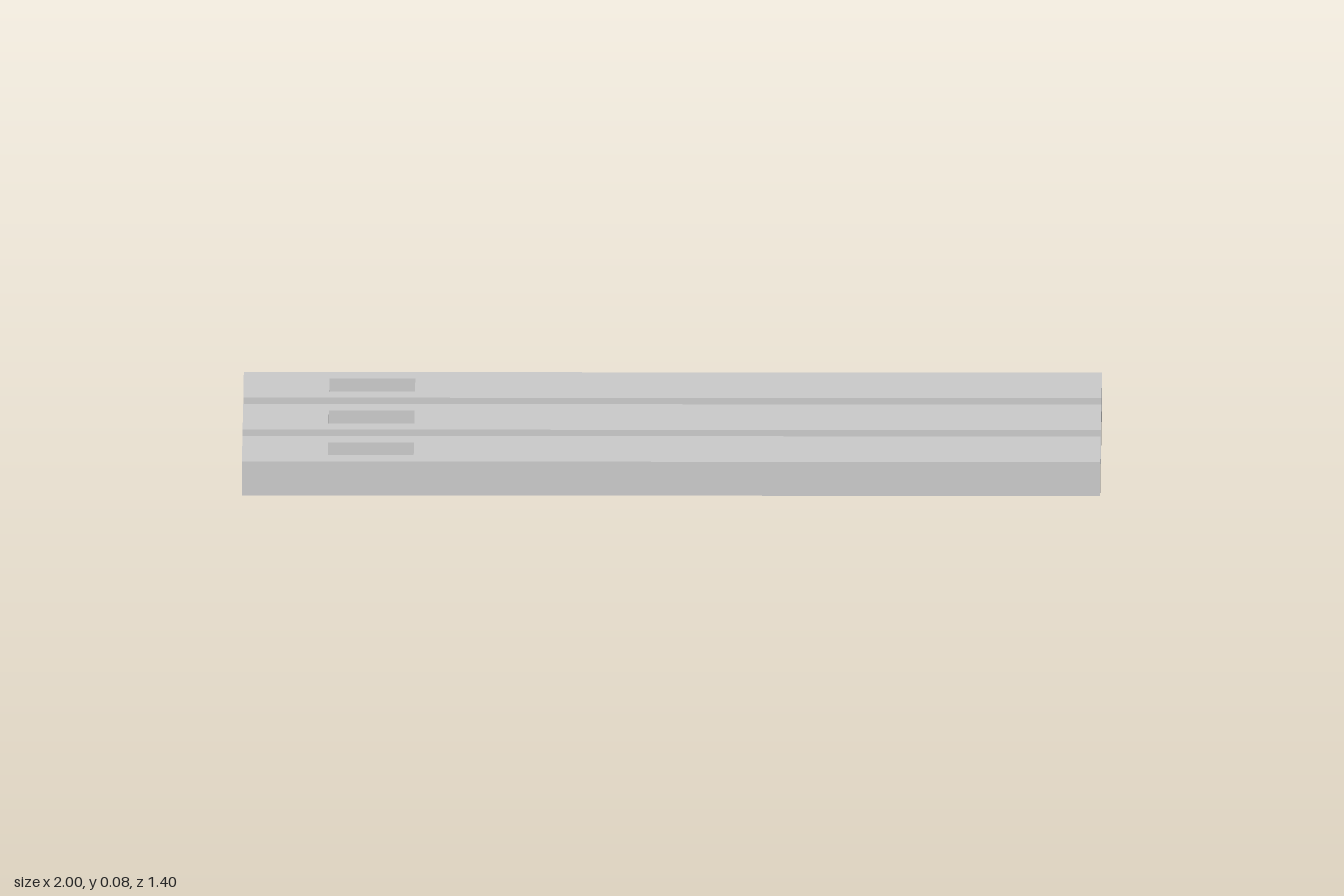
import * as THREE from 'three';

// Counter-clockwise rectangle outline from its centre and size
function rectangle(target, cx, cy, w, h) {
  target.moveTo(cx - w / 2, cy - h / 2);
  target.lineTo(cx + w / 2, cy - h / 2);
  target.lineTo(cx + w / 2, cy + h / 2);
  target.lineTo(cx - w / 2, cy + h / 2);
  target.closePath();
  return target;
}

export function createModel() {
  const group = new THREE.Group();
  group.name = 'slottedPlanks';
  const material = new THREE.MeshStandardMaterial({ color: 0xcccccc });

  // Flat plank with a square through-hole near its right end
  const outline = rectangle(new THREE.Shape(), 0, 0, 2, 0.4);
  outline.holes.push(rectangle(new THREE.Path(), -0.7, 0, 0.2, 0.2));
  const geometry = new THREE.ExtrudeGeometry(outline, { depth: 0.08, bevelEnabled: false });
  geometry.rotateX(-Math.PI / 2);

  // Three planks side by side
  ['backPlank', 'middlePlank', 'frontPlank'].forEach((name, i) => {
    const plank = new THREE.Mesh(geometry, material);
    plank.name = name;
    plank.position.z = (i - 1) * 0.5;
    group.add(plank);
  });

  return group;
}
